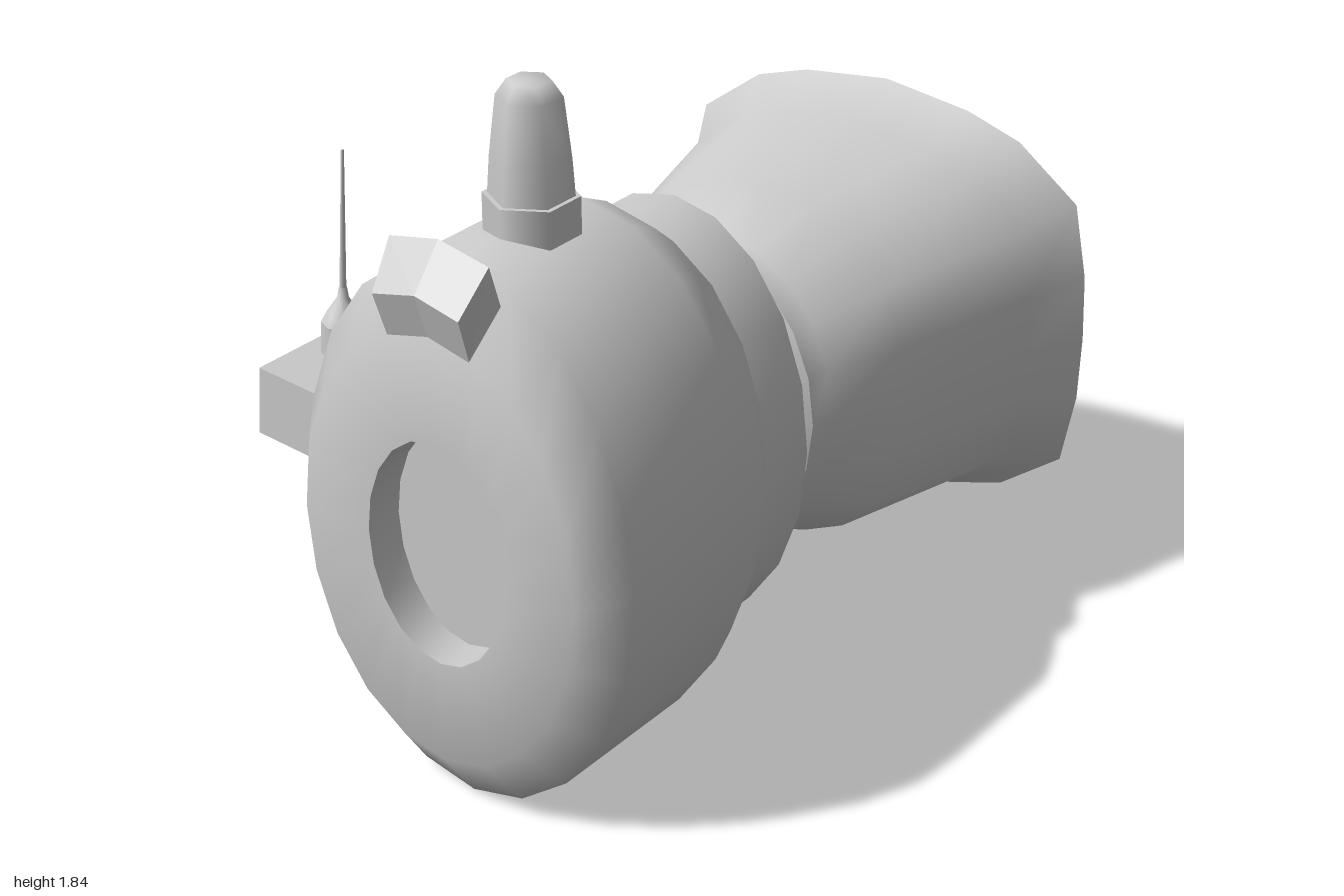
import * as THREE from 'three';

const material = new THREE.MeshStandardMaterial({ color: 0xcccccc });
const SIDES = 20;
const AXIS = { x: 0.02, y: 0.735 };

// One quarter of the squared-off mouth outline, on a unit scale
const SQUARE = [[1, 0], [0.99, 0.3], [0.93, 0.635], [0.65, 0.86], [0.4, 0.945], [0, 1]];

// Point k of a ring that blends from ellipse (s = 0) to rounded square (s = 1)
function ringPoint(k, s) {
  const a = (k / SIDES) * Math.PI * 2;
  const q = k % 10;
  const [sx, sy] = SQUARE[q <= 5 ? q : 10 - q];
  const c = Math.cos(a), n = Math.sin(a);
  return [
    THREE.MathUtils.lerp(c, Math.abs(c) < 1e-6 ? 0 : Math.sign(c) * sx, s),
    THREE.MathUtils.lerp(n, Math.abs(n) < 1e-6 ? 0 : Math.sign(n) * sy, s),
  ];
}

// Smooth skin through rings [z, rx, ry, squareness]
function loft(rings) {
  const pos = [], index = [];
  rings.forEach(([z, rx, ry, s = 0], i) => {
    for (let k = 0; k < SIDES; k++) {
      const [x, y] = ringPoint(k, s);
      pos.push(x * rx, y * ry, z);
      if (i === rings.length - 1) continue;
      const a = i * SIDES + k, d = i * SIDES + ((k + 1) % SIDES);
      index.push(a, a + SIDES, d + SIDES, a, d + SIDES, d);
    }
  });
  const g = new THREE.BufferGeometry();
  g.setAttribute('position', new THREE.Float32BufferAttribute(pos, 3));
  g.setIndex(index);
  g.computeVertexNormals();
  return g;
}

function add(parent, name, geometry, x = 0, y = 0, z = 0) {
  const mesh = new THREE.Mesh(geometry, material);
  mesh.name = name;
  mesh.position.set(x, y, z);
  parent.add(mesh);
  return mesh;
}

const lathe = (points, sides) =>
  new THREE.LatheGeometry(points.map(([r, y]) => new THREE.Vector2(r, y)), sides);

// Bent visor: a four-cornered section repeated at left, middle and right
function visorGeometry() {
  const section = [[1.55, 0.91, 0.15], [1.44, 1.0, 0.13], [1.32, 0.96, 0.125], [1.43, 0.87, 0.15]];
  const pos = [];
  const corner = (side, k) => {
    const [y, z, w] = section[k % 4];
    return [side * w, y - 0.03 * Math.abs(side), z];
  };
  const quad = (a, b, c, d) => pos.push(...a, ...b, ...c, ...a, ...c, ...d);
  for (const side of [-1, 0]) {
    for (let k = 0; k < 4; k++) {
      quad(corner(side, k), corner(side, k + 1), corner(side + 1, k + 1), corner(side + 1, k));
    }
  }
  quad(corner(1, 0), corner(1, 1), corner(1, 2), corner(1, 3));
  quad(corner(-1, 3), corner(-1, 2), corner(-1, 1), corner(-1, 0));
  const g = new THREE.BufferGeometry();
  g.setAttribute('position', new THREE.Float32BufferAttribute(pos, 3));
  g.computeVertexNormals();
  return g;
}

export function createModel() {
  const model = new THREE.Group();
  model.name = 'model';

  // Parts lofted along the main axis, front to back; each list is one smooth surface
  const axis = new THREE.Group();
  axis.name = 'mainBody';
  axis.position.set(AXIS.x, AXIS.y, 0);
  model.add(axis);
  const lofts = {
    recessFloor: [[0.85, 0, 0], [0.85, 0.215, 0.305]],
    recessWall: [[0.85, 0.215, 0.305], [0.96, 0.215, 0.305]],
    shell: [
      [0.96, 0.215, 0.305], [0.96, 0.42, 0.585], [0.85, 0.51, 0.735],
      [0.38, 0.51, 0.735], [0.28, 0.48, 0.69], [0.18, 0.425, 0.61],
    ],
    collar: [[0.18, 0.425, 0.61], [0, 0.425, 0.61]],
    neckCone: [[0, 0.425, 0.61], [-0.08, 0.27, 0.335]],
    hornFlange: [[-0.08, 0.27, 0.335], [-0.13, 0.355, 0.43]],
    horn: [
      [-0.13, 0.355, 0.43], [-0.2, 0.37, 0.435], [-0.38, 0.47, 0.515, 0.6],
      [-0.85, 0.58, 0.535, 1], [-1, 0.665, 0.615, 1],
    ],
    hornRim: [[-1, 0.665, 0.615, 1], [-1, 0.525, 0.48, 1]],
    hornInside: [[-1, 0.525, 0.48, 1], [-0.45, 0.31, 0.32, 0.7], [-0.16, 0.24, 0.25]],
    hornBack: [[-0.16, 0.24, 0.25], [-0.16, 0, 0]],
    innerCone: [[-0.16, 0.055, 0.055], [-0.78, 0.12, 0.135], [-0.93, 0.15, 0.2, 0.8]],
    innerConeMouth: [[-0.93, 0.15, 0.2, 0.8], [-0.93, 0.14, 0.19, 0.8]],
    innerConeCup: [[-0.93, 0.14, 0.19, 0.8], [-0.79, 0.08, 0.1], [-0.79, 0, 0]],
    centrePin: [[-0.78, 0.035, 0.035], [-0.93, 0.035, 0.035], [-0.95, 0.02, 0.02], [-0.95, 0, 0]],
  };
  for (const [name, rings] of Object.entries(lofts)) add(axis, name, loft(rings));

  // Six-sided beacon on top
  const beacon = new THREE.Group();
  beacon.name = 'topBeacon';
  beacon.position.set(AXIS.x, 1.44, 0.57);
  model.add(beacon);
  add(beacon, 'beaconBase', new THREE.CylinderGeometry(0.12, 0.12, 0.105, 6), 0, 0.0525, 0);
  add(beacon, 'beaconDome', lathe(
    [[0.107, 0.1], [0.1, 0.2], [0.082, 0.355], [0.055, 0.395], [0, 0.395]], 6));

  // Visor above the front recess
  add(model, 'frontVisor', visorGeometry(), AXIS.x, 0, 0);

  // Tilted side box carrying the antenna
  const box = add(model, 'sideBox', new THREE.BoxGeometry(0.32, 0.19, 0.41), -0.533, 0.86, 0.605);
  box.rotation.z = -0.085;

  const antenna = new THREE.Group();
  antenna.name = 'antenna';
  antenna.position.set(-0.587, 0.94, 0.605);
  antenna.rotation.z = -0.06;
  model.add(antenna);
  add(antenna, 'antennaSocket', lathe([[0.056, 0], [0.056, 0.11]], 8));
  add(antenna, 'antennaCap', lathe([[0.056, 0.11], [0.042, 0.14], [0.015, 0.18], [0.01, 0.21]], 8));
  add(antenna, 'antennaRod', new THREE.CylinderGeometry(0.004, 0.009, 0.39, 6), 0, 0.395, 0);

  return model;
}
